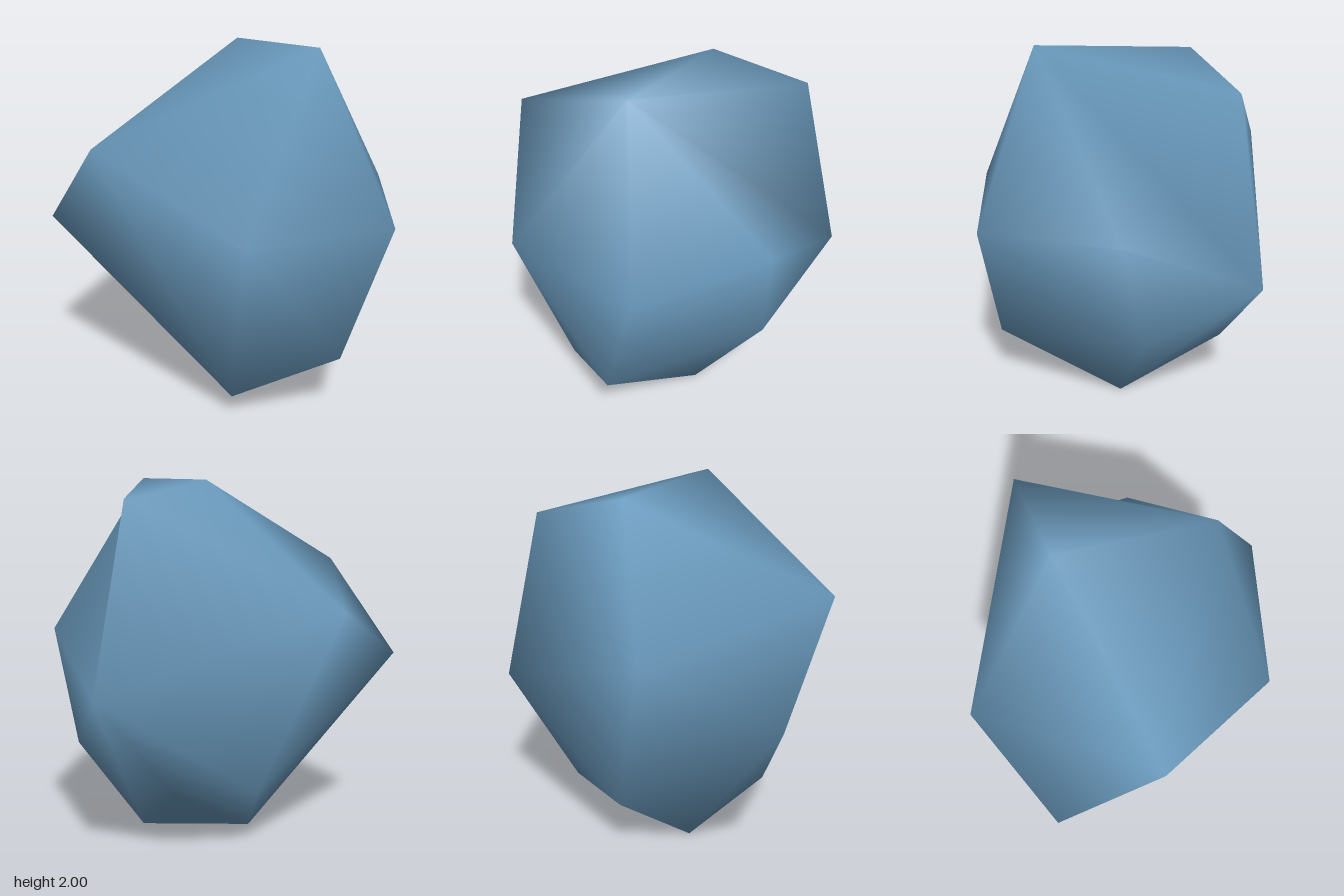
import * as THREE from 'three';
import { ConvexGeometry } from 'three/addons/geometries/ConvexGeometry.js';
import { mergeVertices } from 'three/addons/utils/BufferGeometryUtils.js';

// Corners of the boulder, from the crown down to the foot
const corners = {
  crownFront: [0.11, 2.0, 0.51],
  crownBack: [0.17, 1.95, -0.3],
  shoulder: [0.68, 1.84, -0.37],
  sideUpper: [-0.91, 1.52, -0.02],
  sideLower: [-0.91, 1.0, -0.59],
  back: [-0.29, 1.28, -0.89],
  ridge: [0.8, 1.16, 0.26],
  spur: [0.9, 0.88, -0.45],
  frontA: [0.33, 1.11, 0.885],
  frontB: [-0.485, 1.11, 0.72],
  lowSide: [0.73, 0.54, 0.12],
  lowFront: [0.1, 0.38, 0.765],
  lowBackA: [0.44, 0.34, -0.43],
  lowBackB: [0.035, 0.33, -0.59],
  lowCorner: [-0.36, 0.13, 0.41],
  footA: [0.33, 0, 0.13],
  footB: [-0.18, 0, -0.2],
};

function boulderGeometry() {
  const points = Object.values(corners).map((p) => new THREE.Vector3(...p));
  const hull = new ConvexGeometry(points);
  hull.deleteAttribute('normal');
  const geometry = mergeVertices(hull, 1e-4);

  const position = geometry.attributes.position;
  const v = new THREE.Vector3();
  const find = (name) => {
    const target = new THREE.Vector3(...corners[name]);
    for (let i = 0; i < position.count; i++) {
      if (v.fromBufferAttribute(position, i).distanceTo(target) < 1e-3) return i;
    }
    return -1;
  };

  // Dent: turn the edge shoulder-ridge into a valley from crownFront to spur
  const crown = find('crownFront'), shoulder = find('shoulder');
  const ridge = find('ridge'), spur = find('spur');
  const index = Array.from(geometry.index.array);
  for (let i = 0; i < index.length; i += 3) {
    const face = index.slice(i, i + 3);
    if (!face.includes(shoulder) || !face.includes(ridge)) continue;
    const [from, to] = face.includes(crown) ? [ridge, spur] : [shoulder, crown];
    index[i + face.indexOf(from)] = to;
  }
  geometry.setIndex(index);

  // Shared corners give smooth shading
  geometry.computeVertexNormals();
  return geometry;
}

export function createModel() {
  const stone = new THREE.MeshStandardMaterial({ color: 0x6a9abd });
  stone.name = 'blueStone';

  const boulder = new THREE.Mesh(boulderGeometry(), stone);
  boulder.name = 'boulder';

  const model = new THREE.Group();
  model.name = 'rock';
  model.add(boulder);
  return model;
}
